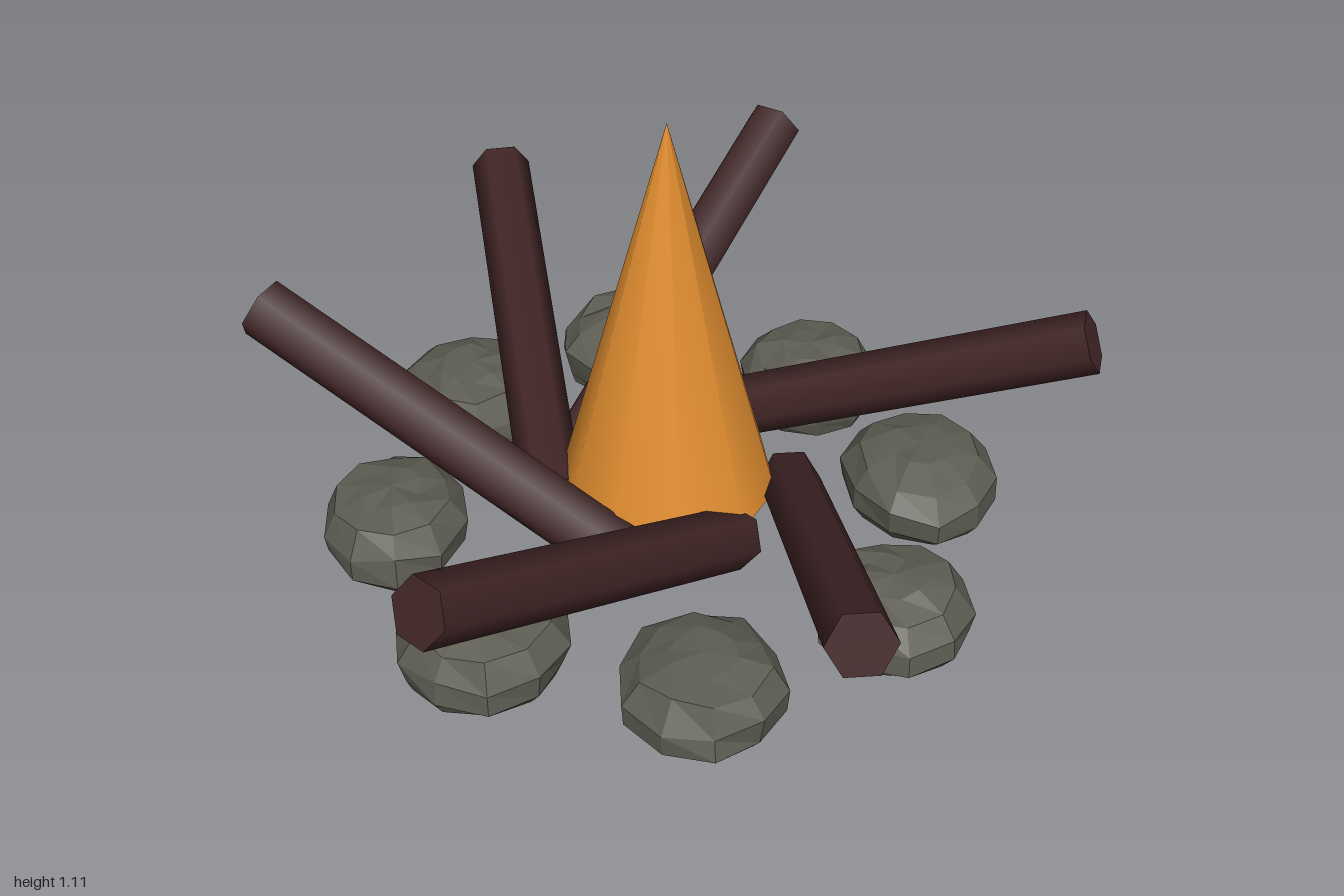
import * as THREE from 'three';

const flameOrange = new THREE.MeshStandardMaterial({ name: 'flameOrange', color: 0xe08d30 });
const emberYellow = new THREE.MeshStandardMaterial({ name: 'emberYellow', color: 0xd8c850 });
const bark = new THREE.MeshStandardMaterial({ name: 'bark', color: 0x402425 });
const stoneGrey = new THREE.MeshStandardMaterial({ name: 'stoneGrey', color: 0x5e5d53, flatShading: true });

// Small seeded generator, 0..1
function seeded(seed) {
  let s = seed * 7919 + 17;
  return () => (s = (s * 16807) % 2147483647) / 2147483647;
}

// Hexagonal log running from its low inner end to its raised outer end
function makeLog(inner, outer) {
  const a = new THREE.Vector3(...inner), b = new THREE.Vector3(...outer);
  const geo = new THREE.CylinderGeometry(0.075, 0.075, a.distanceTo(b), 6, 1, false, Math.PI / 6);
  geo.rotateX(Math.PI / 2);
  const log = new THREE.Mesh(geo, bark);
  log.position.copy(a).lerp(b, 0.5);
  log.lookAt(b);
  log.name = 'log';
  return log;
}

// Flat-bottomed faceted boulder: a turned profile with uneven rings
function makeStone(x, z, rx, rz, height, seed) {
  const sides = 10;
  const profile = [[0, 0], [0.84, 0], [0.98, 0.22], [1, 0.55], [0.78, 0.85], [0.4, 0.98], [0, 1]];
  const geo = new THREE.LatheGeometry(profile.map(p => new THREE.Vector2(...p)), sides);
  const rand = seeded(seed);
  const rows = profile.length;
  const wobble = Array.from({ length: sides * rows }, () => [0.92 + rand() * 0.11, (rand() - 0.5) * 0.13]);
  const pos = geo.attributes.position;
  for (let i = 0; i < pos.count; i++) {
    const row = i % rows;
    const [w, lift] = wobble[(Math.floor(i / rows) % sides) * rows + row];
    const dy = row > 1 && row < rows - 1 ? lift : 0;
    pos.setXYZ(i, pos.getX(i) * w * rx, Math.min(1, pos.getY(i) + dy) * height, pos.getZ(i) * w * rz);
  }
  geo.computeVertexNormals();
  const stone = new THREE.Mesh(geo, stoneGrey);
  stone.position.set(x, 0, z);
  stone.name = 'stone';
  return stone;
}

export function createModel() {
  const model = new THREE.Group();
  model.name = 'campfire';

  // Flame cone with a paler core showing underneath
  const flame = new THREE.Mesh(new THREE.ConeGeometry(0.26, 0.965, 10), flameOrange);
  flame.position.set(-0.015, 0.6225, -0.005);
  flame.name = 'flame';
  const core = new THREE.Mesh(new THREE.ConeGeometry(0.19, 0.6, 8), emberYellow);
  core.position.set(-0.015, 0.436, -0.005);
  core.name = 'flameCore';
  model.add(flame, core);

  // Logs leaning outward around the flame
  const logs = new THREE.Group();
  logs.name = 'logs';
  [
    [[-0.295, 0.11, -0.01], [-0.35, 0.49, -0.95]],
    [[-0.21, 0.11, -0.2], [0.39, 0.56, -0.95]],
    [[0.08, 0.12, -0.27], [0.965, 0.51, 0.08]],
    [[0.28, 0.11, 0.0], [0.24, 0.49, 0.97]],
    [[0.12, 0.11, 0.2], [-0.595, 0.55, 0.84]],
    [[-0.16, 0.12, 0.23], [-0.945, 0.53, -0.275]],
  ].forEach(([inner, outer]) => logs.add(makeLog(inner, outer)));
  model.add(logs);

  // Ring of stones: x, z, half width, half depth, height
  const stones = new THREE.Group();
  stones.name = 'stones';
  [
    [-0.46, -0.48, 0.2, 0.2, 0.185],
    [-0.04, -0.66, 0.185, 0.195, 0.175],
    [0.41, -0.45, 0.185, 0.185, 0.185],
    [0.605, -0.015, 0.19, 0.215, 0.175],
    [0.44, 0.44, 0.19, 0.185, 0.175],
    [-0.015, 0.62, 0.19, 0.195, 0.165],
    [-0.48, 0.44, 0.2, 0.185, 0.18],
    [-0.67, -0.005, 0.18, 0.2, 0.18],
  ].forEach((s, i) => stones.add(makeStone(...s, i + 1)));
  model.add(stones);

  return model;
}
